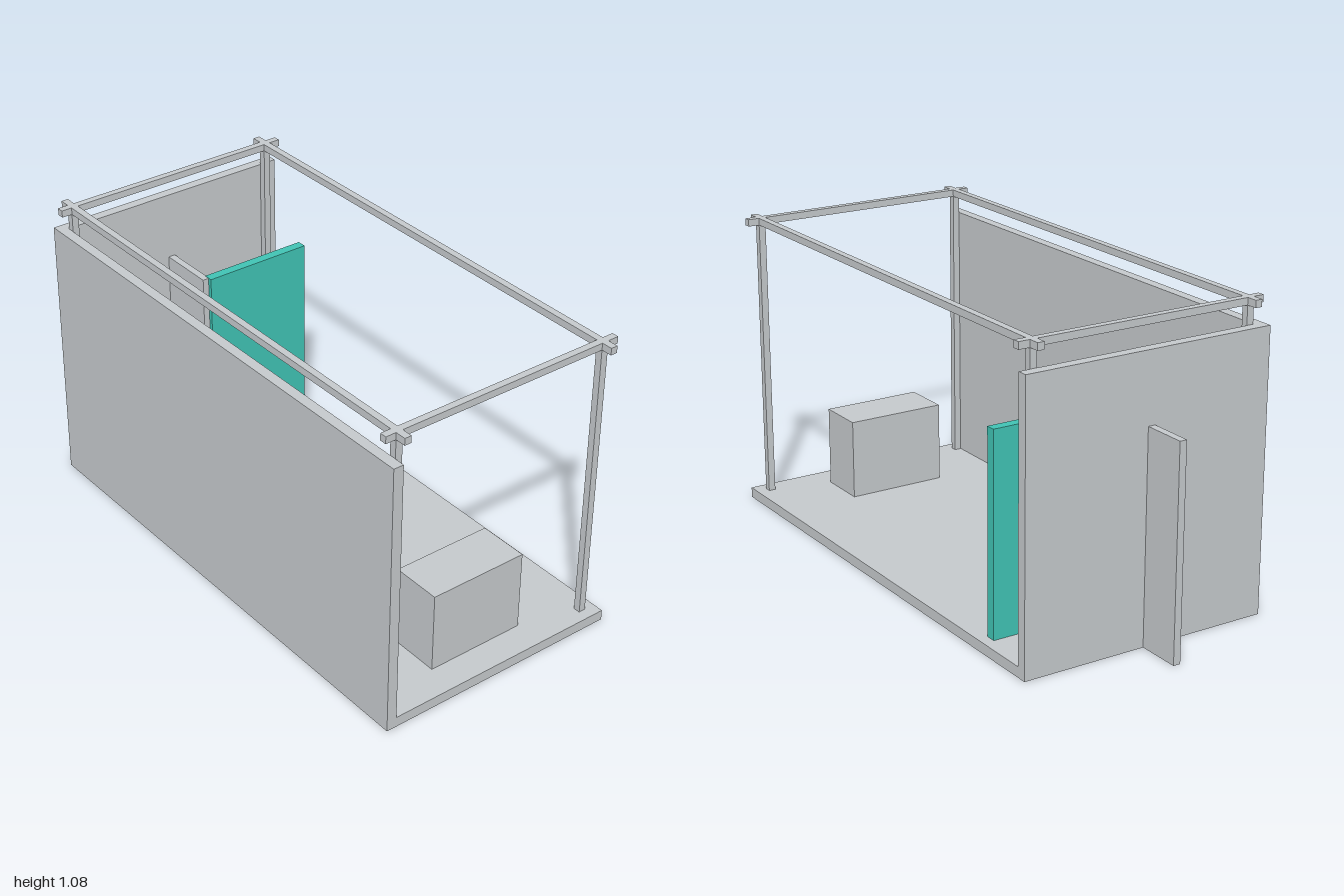
import * as THREE from 'three';

export function createModel() {
  const model = new THREE.Group();
  model.name = 'openRoom';

  const grey = new THREE.MeshStandardMaterial({ color: 0xc4c8cb });
  grey.name = 'light grey';
  const teal = new THREE.MeshStandardMaterial({ color: 0x40c2b3 });
  teal.name = 'teal';

  // Box given by its [min, max] range on each axis
  function block(name, [x0, x1], [y0, y1], [z0, z1], material = grey) {
    const mesh = new THREE.Mesh(new THREE.BoxGeometry(x1 - x0, y1 - y0, z1 - z0), material);
    mesh.position.set((x0 + x1) / 2, (y0 + y1) / 2, (z0 + z1) / 2);
    mesh.name = name;
    model.add(mesh);
  }

  const X = [-0.458, 0.458], Z = [-0.842, 1];
  const floorTop = 0.037, wallTop = 0.985;

  // Floor and the two full walls
  block('floor', X, [0, floorTop], Z);
  block('sideWall', [X[0], X[0] + 0.037], [floorTop, wallTop], Z);
  block('backWall', [X[0] + 0.037, X[1]], [floorTop, wallTop], [Z[0], Z[0] + 0.037]);

  // Low partition running through the back wall, and the teal panel it carries
  block('partitionInside', [-0.017, 0.009], [floorTop, 0.74], [Z[0] + 0.037, -0.59]);
  block('partitionOutside', [-0.017, 0.009], [0, 0.74], [-1, Z[0]]);
  block('tealPanel', [0.006, 0.42], [floorTop, 0.741], [-0.61, -0.575], teal);

  // Counter near the front
  block('counter', [-0.185, 0.183], [floorTop, 0.327], [0.708, 0.89]);

  // Frame: four posts under crossing top beams with short overhangs
  const postX = [[-0.42, -0.395], [0.392, 0.417]];
  const postZ = [[-0.803, -0.778], [0.936, 0.961]];
  const beamY = [1.05, 1.075];
  for (const px of postX) {
    block('lengthBeam', px, beamY, Z);
    for (const pz of postZ) block('post', px, [floorTop, beamY[0]], pz);
  }
  for (const pz of postZ) block('crossBeam', X, beamY, pz);

  return model;
}
